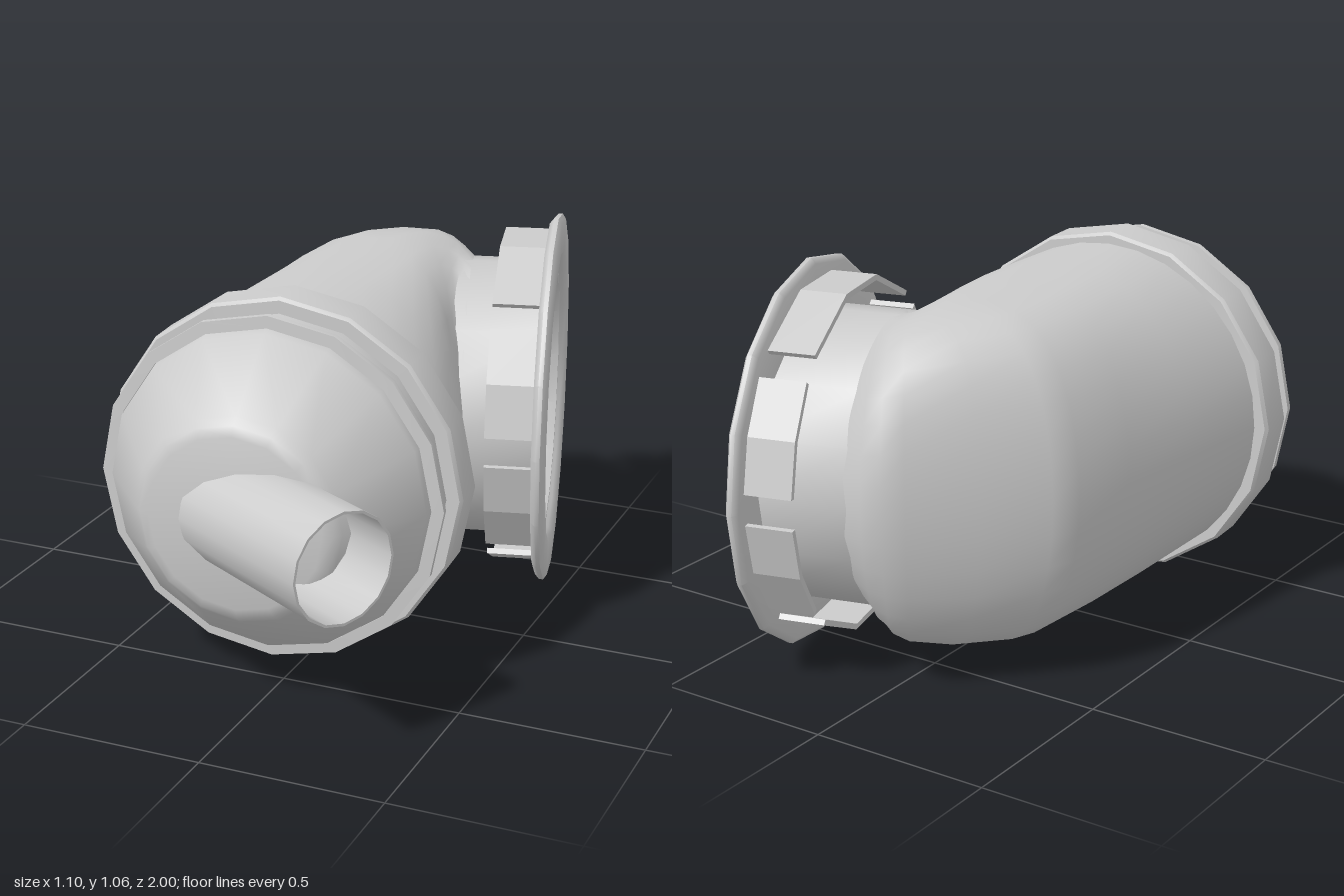
import * as THREE from 'three';
import { toCreasedNormals } from 'three/addons/utils/BufferGeometryUtils.js';

const MID = 0.53; // height of every axis
const SIDES = 16;
const material = new THREE.MeshStandardMaterial({ color: 0xcccccc, side: THREE.DoubleSide });

function mesh(name, geometry) {
  const m = new THREE.Mesh(geometry, material);
  m.name = name;
  return m;
}

// Group whose local z axis points along the horizontal direction (dx, dz)
function axisGroup(name, x, z, dx, dz) {
  const g = new THREE.Group();
  g.name = name;
  g.position.set(x, MID, z);
  g.rotation.y = Math.atan2(dx, dz);
  return g;
}

// Turned part along local z; profile is [radius, distance along axis]
function turned(name, profile, crease = 0.5) {
  const geo = new THREE.LatheGeometry(profile.map(([r, t]) => new THREE.Vector2(r, t)), SIDES);
  geo.rotateX(Math.PI / 2);
  return mesh(name, toCreasedNormals(geo, crease));
}

// Elbow shell: each section has an outer, crest and inner point in plan, a half height,
// and fullness powers for its outer and inner halves (below 1 is squarer)
function elbowGeometry(sections, sides) {
  const pos = [], index = [];
  for (const { outer, crest, inner, h, full } of sections) {
    for (let j = 0; j < sides; j++) {
      const a = (j / sides) * Math.PI * 2, c = Math.cos(a);
      const side = c > 0 ? outer : inner;
      const k = Math.pow(Math.abs(c), c > 0 ? full[0] : full[1]);
      pos.push(
        crest[0] + (side[0] - crest[0]) * k,
        MID + h * Math.sin(a),
        crest[1] + (side[1] - crest[1]) * k,
      );
    }
  }
  for (let i = 0; i < sections.length - 1; i++) {
    for (let j = 0; j < sides; j++) {
      const n = (j + 1) % sides;
      const a = i * sides + j, b = i * sides + n, c = a + sides, d = b + sides;
      index.push(a, b, c, b, d, c);
    }
  }
  const geo = new THREE.BufferGeometry();
  geo.setAttribute('position', new THREE.Float32BufferAttribute(pos, 3));
  geo.setIndex(index);
  geo.computeVertexNormals();
  return geo;
}

// Thin plate following a faceted ring through the given angles (degrees)
function plate(angles, inner, outer, depth) {
  const at = (r, deg) => new THREE.Vector2(r * Math.cos(deg * Math.PI / 180), r * Math.sin(deg * Math.PI / 180));
  const pts = [...angles.map(a => at(outer, a)), ...[...angles].reverse().map(a => at(inner, a))];
  return new THREE.ExtrudeGeometry(new THREE.Shape(pts), { depth, bevelEnabled: false });
}

export function createModel() {
  const model = new THREE.Group();
  model.name = 'elbowHousing';

  // Hollow body: a tapering barrel with a slanted flat end, turning into the side outlet
  model.add(mesh('elbowBody', elbowGeometry([
    { outer: [-0.515, 0.31], crest: [-0.055, 0.275], inner: [0.405, 0.24], h: 0.466, full: [1, 1] },
    { outer: [-0.475, 0.02], crest: [-0.055, 0.06], inner: [0.365, 0.12], h: 0.463, full: [0.82, 0.85] },
    { outer: [-0.44, -0.23], crest: [-0.05, -0.16], inner: [0.325, 0.03], h: 0.46, full: [0.68, 0.75] },
    { outer: [-0.405, -0.42], crest: [-0.045, -0.34], inner: [0.3, -0.03], h: 0.458, full: [0.62, 0.75] },
    { outer: [-0.37, -0.49], crest: [-0.035, -0.41], inner: [0.295, -0.035], h: 0.456, full: [0.62, 0.8] },
    { outer: [-0.24, -0.625], crest: [0.0, -0.49], inner: [0.29, -0.04], h: 0.447, full: [0.62, 0.9] },
    { outer: [-0.11, -0.765], crest: [0.05, -0.53], inner: [0.285, -0.043], h: 0.428, full: [0.62, 1] },
    { outer: [-0.06, -0.8], crest: [0.09, -0.52], inner: [0.282, -0.045], h: 0.415, full: [0.68, 1] },
    { outer: [-0.01, -0.818], crest: [0.13, -0.48], inner: [0.282, -0.047], h: 0.403, full: [0.8, 1] },
    { outer: [0.06, -0.8], crest: [0.17, -0.43], inner: [0.285, -0.05], h: 0.395, full: [1, 1] },
  ], 32)));

  // Front collar, sealing ring and conical cap
  const front = axisGroup('frontCap', -0.057, 0.275, 0.07, 1);
  front.add(
    turned('collar', [[0.455, 0], [0.49, 0], [0.498, 0.01], [0.498, 0.115], [0.49, 0.125], [0.455, 0.125]]),
    turned('sealingRing', [[0.455, 0.12], [0.455, 0.19], [0.475, 0.192], [0.475, 0.21], [0.442, 0.212]]),
    turned('coneCap', [[0.442, 0.205], [0.436, 0.235], [0.28, 0.428], [0.262, 0.447], [0.235, 0.456], [0, 0.459]], 0.7),
  );
  model.add(front);

  // Angled open inlet pipe
  const inlet = axisGroup('inlet', 0.337, 0.868, 0.866, 0.5);
  inlet.add(turned('inletPipe', [[0.15, -0.5], [0.15, 0], [0.143, 0], [0.143, -0.5]]));
  model.add(inlet);

  // Side outlet: neck, flange and clip plates
  const outlet = axisGroup('outlet', 0.414, -0.49, 0.967, -0.256);
  outlet.add(
    turned('outletNeck', [[0.365, -0.28], [0.398, -0.28], [0.398, -0.02], [0.385, -0.02], [0.365, -0.07], [0.365, -0.28]]),
    turned('flange', [[0.39, -0.035], [0.515, -0.035], [0.53, -0.022], [0.53, -0.01], [0.515, 0],
      [0.425, 0], [0.41, -0.012], [0.39, -0.035]], 0.9),
  );
  const plates = [[5, 22.5, 41], [50, 78, 102, 130], [139, 157.5, 175]];
  for (const half of [0, 180]) {
    for (const angles of plates) {
      const clip = mesh('clipPlate', plate(angles.map(a => a + half), 0.467, 0.483, 0.135));
      clip.position.z = -0.165;
      outlet.add(clip);
    }
  }
  model.add(outlet);

  return model;
}
